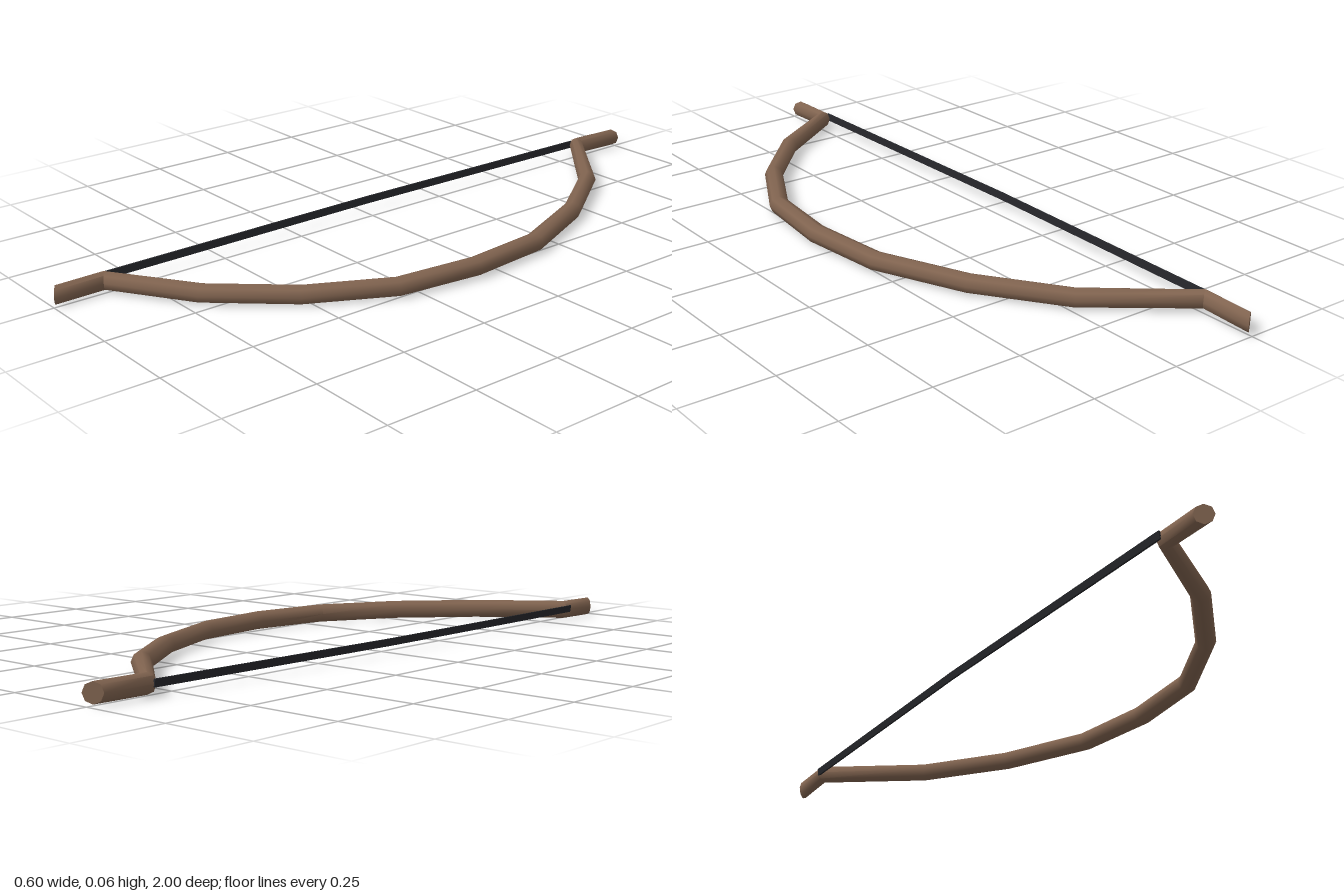
import * as THREE from 'three';
import { toCreasedNormals } from 'three/addons/utils/BufferGeometryUtils.js';

// Skin a closed tube through rings of points (all rings ordered the same way), with end caps
function loft(rings, crease) {
  const n = rings[0].length, pos = [], idx = [];
  rings.forEach(r => r.forEach(p => pos.push(p.x, p.y, p.z)));
  for (let i = 0; i < rings.length - 1; i++) {
    for (let j = 0; j < n; j++) {
      const a = i * n + j, b = i * n + (j + 1) % n;
      idx.push(a, b, a + n, b, b + n, a + n);
    }
  }
  const last = (rings.length - 1) * n;
  for (let j = 1; j < n - 1; j++) {
    idx.push(0, j + 1, j);
    idx.push(last, last + j, last + j + 1);
  }
  const g = new THREE.BufferGeometry();
  g.setAttribute('position', new THREE.Float32BufferAttribute(pos, 3));
  g.setIndex(idx);
  return toCreasedNormals(g, crease);
}

export function createModel() {
  const group = new THREE.Group();
  group.name = 'bow';
  const wood = new THREE.MeshStandardMaterial({ color: 0x80634f });
  const cord = new THREE.MeshStandardMaterial({ color: 0x25262a });

  // Bow stave: x, y, z of each joint, then the mitred half-width vector (x, z)
  const joints = [
    [-0.255, 0.033, -0.985, 0.020, -0.015],
    [-0.262, 0.034, -0.835, 0.018, -0.012],
    [-0.020, 0.030, -0.635, 0.017, -0.020],
    [0.135, 0.029, -0.415, 0.022, -0.015],
    [0.243, 0.029, -0.165, 0.026, -0.008],
    [0.268, 0.030, 0.070, 0.028, 0.002],
    [0.240, 0.029, 0.305, 0.025, 0.010],
    [0.125, 0.029, 0.520, 0.021, 0.016],
    [-0.045, 0.029, 0.705, 0.016, 0.020],
    [-0.265, 0.031, 0.850, 0.018, 0.012],
    [-0.266, 0.029, 0.985, 0.020, 0.015],
  ];
  const sides = 8;
  const staveRings = joints.map(([x, y, z, hx, hz]) =>
    Array.from({ length: sides }, (_, k) => {
      const a = (k / sides) * Math.PI * 2, c = Math.cos(a);
      return new THREE.Vector3(x + hx * c, y + 0.026 * Math.sin(a), z + hz * c);
    }));
  const stave = new THREE.Mesh(loft(staveRings, 0.9), wood);
  stave.name = 'stave';
  group.add(stave);

  // Bowstring: a thin, slightly tilted strip that bows outward at the middle
  const section = [[0.005, -0.010], [0.002, 0.010], [-0.003, 0.010], [0, -0.010]];
  const path = [[-0.281, 0.036, -0.83], [-0.296, 0.035, -0.02], [-0.286, 0.035, 0.855]];
  const stringRings = path.map(([x, y, z]) =>
    section.map(([dx, dy]) => new THREE.Vector3(x + dx, y + dy, z)));
  const bowstring = new THREE.Mesh(loft(stringRings, 0.5), cord);
  bowstring.name = 'bowstring';
  group.add(bowstring);

  return group;
}
